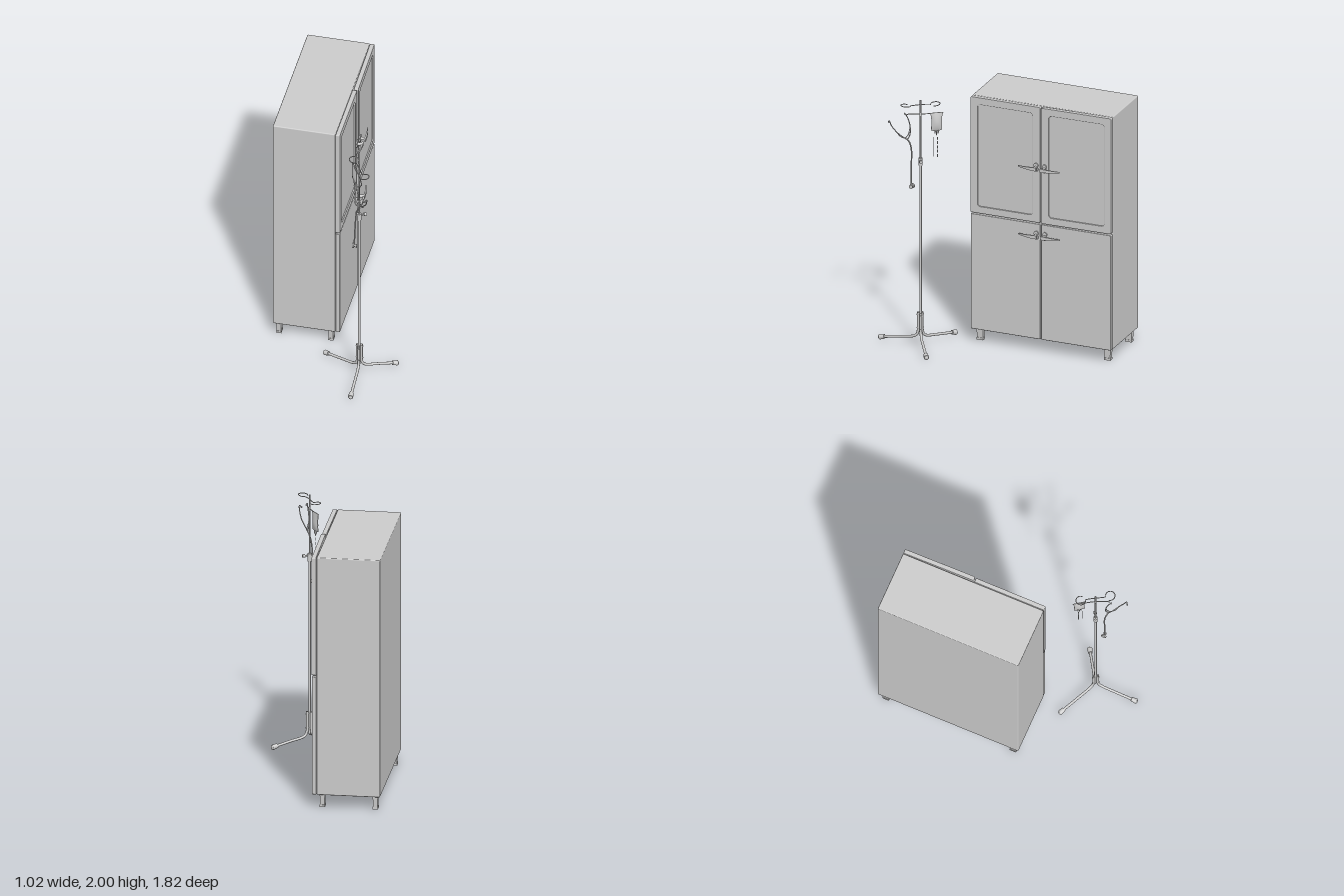
import * as THREE from 'three';
import { RoundedBoxGeometry } from 'three/addons/geometries/RoundedBoxGeometry.js';

const mat = new THREE.MeshStandardMaterial({ color: 0xcccccc, side: THREE.DoubleSide });
const V = (x, y, z) => new THREE.Vector3(x, y, z);

function add(parent, name, geo, x = 0, y = 0, z = 0) {
  const m = new THREE.Mesh(geo, mat);
  m.name = name;
  m.position.set(x, y, z);
  parent.add(m);
  return m;
}

function group(parent, name) {
  const g = new THREE.Group();
  g.name = name;
  parent.add(g);
  return g;
}

// Smooth tube through a few points
function tube(parent, name, pts, r, seg = 32) {
  const curve = new THREE.CatmullRomCurve3(pts.map(p => V(...p)));
  return add(parent, name, new THREE.TubeGeometry(curve, seg, r, 10));
}

// Capped cylinder between two points
function rod(parent, name, a, b, r0, r1 = r0) {
  const p = V(...a), q = V(...b), d = q.clone().sub(p);
  const m = add(parent, name, new THREE.CylinderGeometry(r1, r0, d.length(), 20));
  m.position.copy(p).add(q).multiplyScalar(0.5);
  m.quaternion.setFromUnitVectors(V(0, 1, 0), d.normalize());
  return m;
}

function roundRect(shape, x0, y0, x1, y1, r) {
  shape.moveTo(x0 + r, y0);
  shape.lineTo(x1 - r, y0).absarc(x1 - r, y0 + r, r, -Math.PI / 2, 0);
  shape.lineTo(x1, y1 - r).absarc(x1 - r, y1 - r, r, 0, Math.PI / 2);
  shape.lineTo(x0 + r, y1).absarc(x0 + r, y1 - r, r, Math.PI / 2, Math.PI);
  shape.lineTo(x0, y0 + r).absarc(x0 + r, y0 + r, r, Math.PI, Math.PI * 1.5);
  return shape;
}

// Lever handle; dir is the z direction the lever points in
function addHandle(parent, y, z, dir) {
  const h = group(parent, 'doorHandle');
  h.position.set(0.013, y, z);
  const plate = new THREE.CylinderGeometry(0.018, 0.018, 0.01, 24);
  plate.rotateZ(Math.PI / 2);
  for (const s of [-1, 1]) add(h, 'rosette', plate, 0.004, s * 0.016, 0);
  rod(h, 'handleNeck', [0, 0, 0], [0.046, 0, 0], 0.012);
  // Crescent seen from above, narrowing in height toward the tip
  const s = new THREE.Shape();
  s.moveTo(0.036, -0.018);
  s.lineTo(0.05, -0.018);
  s.quadraticCurveTo(0.056, 0.065, 0.028, 0.137);
  s.lineTo(0.025, 0.135);
  s.quadraticCurveTo(0.044, 0.06, 0.036, -0.018);
  const g = new THREE.ExtrudeGeometry(s, { depth: 0.028, bevelEnabled: false, curveSegments: 14 });
  g.translate(0, 0, -0.014);
  const p = g.attributes.position;
  for (let i = 0; i < p.count; i++) {
    const v = p.getY(i);
    p.setXYZ(i, p.getX(i), p.getZ(i) * (1 - 0.65 * Math.max(0, v) / 0.137), v * dir);
  }
  if (dir > 0) g.index || g.computeVertexNormals();
  g.computeVertexNormals();
  add(h, 'handleLever', g);
}

function buildCabinet(root) {
  const cab = group(root, 'cabinet');
  add(cab, 'cabinetBody', new RoundedBoxGeometry(0.485, 1.895, 1.16, 3, 0.008), -0.2675, 1.0525, -0.33);

  for (const s of [1, -1]) {
    // Hinge sits on the outer edge; the far upper door stands slightly ajar
    const upper = group(cab, 'upperDoor');
    upper.position.set(-0.022, 0, -0.33 + s * 0.58);
    if (s < 0) upper.rotation.y = 0.012;
    const u0 = s > 0 ? 0 : -0.575, u1 = u0 + 0.575;
    const frame = roundRect(new THREE.Shape(), u0 + 0.003, 1.06, u1 - 0.003, 1.997, 0.008);
    const w0 = u0 + (s > 0 ? 0.055 : 0.06), w1 = w0 + 0.46;
    frame.holes.push(roundRect(new THREE.Path(), w0, 1.11, w1, 1.945, 0.025));
    const fg = new THREE.ExtrudeGeometry(frame, {
      depth: 0.029, bevelThickness: 0.003, bevelSize: 0.003, bevelSegments: 2, curveSegments: 6 });
    fg.rotateY(Math.PI / 2);
    add(upper, 'doorFrame', fg, 0.003);
    add(upper, 'windowPanel', new THREE.BoxGeometry(0.018, 0.85, 0.475), 0.016, 1.5275, -(w0 + w1) / 2);

    const lower = group(cab, 'lowerDoor');
    add(lower, 'doorPanel', new RoundedBoxGeometry(0.034, 0.94, 0.575, 3, 0.006), -0.006, 0.576, -0.33 + s * 0.2905);

    const z = -0.33 + s * 0.036;
    addHandle(lower, 0.955, z, s);
    const upperHandle = group(cab, 'upperHandle');
    upperHandle.position.x = s > 0 ? 0.003 : 0.01;
    addHandle(upperHandle, 1.51, z, s);
  }

  // Tapered square feet on small pads
  for (const x of [-0.47, -0.065]) for (const z of [0.197, -0.853]) {
    const leg = group(cab, 'cabinetLeg');
    const g = new THREE.CylinderGeometry(0.0283, 0.0235, 0.1, 4).toNonIndexed();
    g.rotateY(Math.PI / 4);
    g.scale(1, 1, 1.4);
    g.computeVertexNormals();
    add(leg, 'legPost', g, x, 0.058, z);
    add(leg, 'legPad', new THREE.BoxGeometry(0.04, 0.018, 0.054), x, 0.009, z);
  }
}

const PX = 0.235, PZ = 0.565; // stand axis

function buildStand(root) {
  const st = group(root, 'dripStand');
  rod(st, 'lowerPole', [PX, 0.09, PZ], [PX, 1.49, PZ], 0.0095);
  rod(st, 'upperPole', [PX, 1.45, PZ], [PX, 2.0, PZ], 0.006);
  rod(st, 'heightClamp', [PX, 1.47, PZ], [PX, 1.53, PZ], 0.017);
  rod(st, 'clampScrew', [PX, 1.515, PZ], [PX + 0.04, 1.515, PZ - 0.02], 0.006);
  rod(st, 'clampKnob', [PX + 0.034, 1.515, PZ - 0.017], [PX + 0.05, 1.515, PZ - 0.027], 0.013);

  // Three bent legs with rubber tips
  for (const [tx, tz] of [[-0.07, 0.404], [0.495, 0.404], [0.245, 0.898]]) {
    const dx = tx - PX, dz = tz - PZ, L = Math.hypot(dx, dz);
    const at = (r, y) => [PX + dx / L * r, y, PZ + dz / L * r];
    const leg = group(st, 'standLeg');
    tube(leg, 'legTube', [at(0.018, 0.27), at(0.018, 0.18), at(0.02, 0.115), at(0.032, 0.085),
      at(0.06, 0.068), at(0.15, 0.052), at(L - 0.02, 0.026)], 0.0105, 48);
    rod(leg, 'legTip', at(L - 0.04, 0.03), at(L, 0.021), 0.017, 0.02);
    const end = add(leg, 'legTipEnd', new THREE.SphereGeometry(0.02, 16, 10), ...at(L - 0.006, 0.0205));
    end.scale.set(0.9, 1, 0.9);
    for (const y of [0.14, 0.25]) rod(leg, 'legBolt', at(0, y), at(0.032, y), 0.005);
  }

  // Open loop hooks at the top
  const ux = 0.53, uz = 0.85;
  for (const s of [1, -1]) {
    const cx = PX + s * 0.062, cz = PZ + s * 0.095;
    const a0 = Math.atan2(-s * uz, -s * ux);
    const pts = [[PX, 1.965, PZ]];
    for (let i = 0; i <= 12; i++) {
      const a = a0 + i / 12 * 5.2;
      pts.push([cx + 0.036 * Math.cos(a), 1.965 + 0.008 * Math.sin(i / 12 * Math.PI) - 0.006, cz + 0.036 * Math.sin(a)]);
    }
    tube(st, 'loopHook', pts, 0.0035, 60);
  }
  // Lower crossbar holding the bag and the tubing
  tube(st, 'crossbar', [[0.165, 1.893, 0.445], [0.18, 1.888, 0.475], [PX, 1.888, PZ],
    [0.27, 1.888, 0.645], [0.278, 1.88, 0.665]], 0.0035);
  rod(st, 'hookCollar', [PX, 1.875, PZ], [PX, 1.9, PZ], 0.009);
}

function buildBag(root) {
  const bag = group(root, 'dripBag');
  bag.position.set(0.175, 0, 0.458);
  bag.rotation.y = -0.94;
  // Pillow shape: thin at the rim, waisted on the sides
  const g = new THREE.BoxGeometry(2, 2, 2, 12, 14, 4);
  const p = g.attributes.position;
  for (let i = 0; i < p.count; i++) {
    const x = p.getX(i), y = p.getY(i), z = p.getZ(i);
    const w = 0.04 + 0.012 * y * y * (0.6 + 0.4 * y);
    const t = 0.002 + 0.014 * (1 - x * x) * (1 - y * y) * (1 - 0.3 * y);
    p.setXYZ(i, x * w, 1.82 + y * (0.075 - 0.008 * x * x * (y < 0 ? 1 : 0)), z * t);
  }
  g.computeVertexNormals();
  add(bag, 'bagPouch', g);
  for (const x of [-0.012, 0.012]) rod(bag, 'bagPort', [x, 1.75, 0], [x, 1.725, 0], 0.006, 0.004);
  rod(bag, 'bagNozzle', [0, 1.75, 0], [0, 1.71, 0], 0.005, 0.003);
  // Fine drip lines, one of them broken into drops
  rod(bag, 'dripLine', [0.022, 1.695, 0], [0.022, 1.54, 0], 0.0015);
  for (let i = 0; i < 5; i++) {
    const y = 1.695 - i * 0.035;
    rod(bag, 'dripSegment', [-0.006, y, 0], [-0.006, y - 0.022, 0], 0.003);
  }
}

function buildStethoscope(root) {
  const s = group(root, 'stethoscope');
  const ears = [
    [[0.328, 1.822, 0.786], [0.342, 1.838, 0.776], [0.338, 1.8, 0.76], [0.318, 1.745, 0.725], [0.285, 1.7, 0.69], [0.265, 1.675, 0.662]],
    [[0.27, 1.886, 0.68], [0.262, 1.86, 0.664], [0.252, 1.8, 0.647], [0.25, 1.73, 0.643], [0.257, 1.695, 0.65], [0.265, 1.675, 0.662]]];
  for (const path of ears) {
    tube(s, 'earTube', path, 0.004);
    add(s, 'earTip', new THREE.SphereGeometry(0.007, 12, 8), ...path[0]);
  }
  tube(s, 'springArc', [[0.318, 1.745, 0.725], [0.295, 1.705, 0.705], [0.275, 1.69, 0.675],
    [0.262, 1.715, 0.655], [0.252, 1.77, 0.645]], 0.003);
  tube(s, 'rubberTube', [[0.265, 1.678, 0.662], [0.245, 1.64, 0.648], [0.23, 1.58, 0.642],
    [0.222, 1.45, 0.646], [0.216, 1.295, 0.648]], 0.0055);
  rod(s, 'chestPiece', [0.202, 1.28, 0.645], [0.214, 1.28, 0.645], 0.021, 0.019);
  rod(s, 'chestPieceStem', [0.212, 1.28, 0.645], [0.228, 1.28, 0.645], 0.009);
  rod(s, 'chestPieceBell', [0.224, 1.28, 0.645], [0.236, 1.28, 0.645], 0.011, 0.016);
}

export function createModel() {
  const root = new THREE.Group();
  root.name = 'clinicCabinetAndDripStand';
  buildCabinet(root);
  buildStand(root);
  buildBag(root);
  buildStethoscope(root);
  return root;
}
